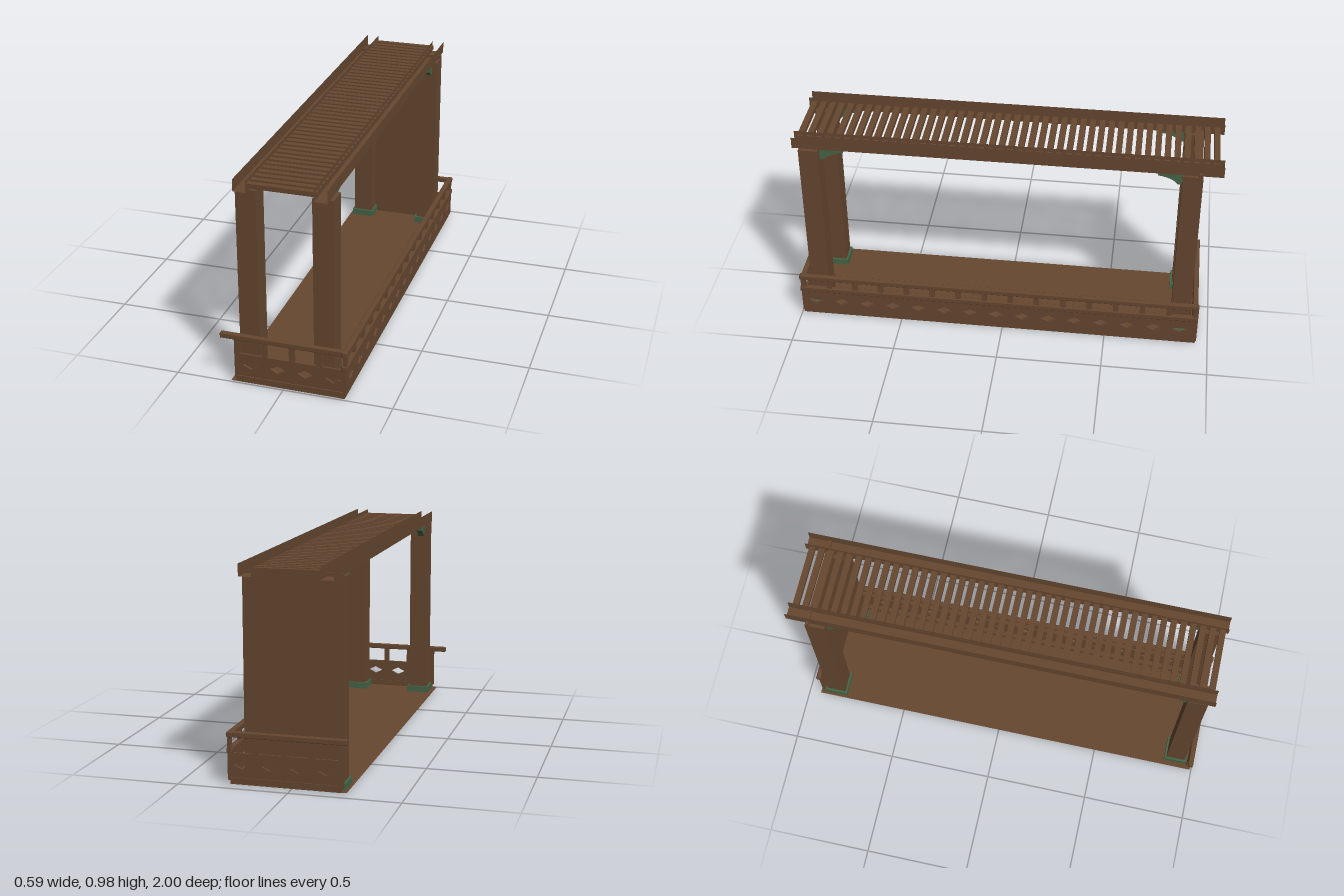
import * as THREE from 'three';
import { RoundedBoxGeometry } from 'three/addons/geometries/RoundedBoxGeometry.js';

const wood = new THREE.MeshStandardMaterial({ color: 0x664730, side: THREE.DoubleSide });
wood.name = 'brown wood';
const green = new THREE.MeshStandardMaterial({ color: 0x456546 });
green.name = 'green trim';

const PITCH = 0.1275; // spacing of railing bays

function add(parent, name, geometry, material = wood) {
  const mesh = new THREE.Mesh(geometry, material);
  mesh.name = name;
  parent.add(mesh);
  return mesh;
}

// Box given by its extents on each axis
function box(parent, name, [x0, x1], [y0, y1], [z0, z1], material = wood, radius = 0) {
  const size = [x1 - x0, y1 - y0, z1 - z0];
  const geometry = radius ? new RoundedBoxGeometry(...size, 1, radius) : new THREE.BoxGeometry(...size);
  const mesh = add(parent, name, geometry, material);
  mesh.position.set((x0 + x1) / 2, (y0 + y1) / 2, (z0 + z1) / 2);
  return mesh;
}

// Upright board in the XY plane with a row of diamond cut-outs
function diamondPanel(u0, u1, centres, y0, y1, depth) {
  const shape = new THREE.Shape();
  shape.moveTo(u0, y0).lineTo(u1, y0).lineTo(u1, y1).lineTo(u0, y1).closePath();
  for (const u of centres) {
    const hole = new THREE.Path();
    hole.moveTo(u - 0.038, 0.086).lineTo(u, 0.105).lineTo(u + 0.038, 0.086).lineTo(u, 0.067).closePath();
    shape.holes.push(hole);
  }
  return new THREE.ExtrudeGeometry(shape, { depth, bevelEnabled: false });
}

// Railing across one end: sill, pierced board, posts and handrail
function endRailing(parent, name, z, handrailStart) {
  const rail = new THREE.Group();
  rail.name = name;
  parent.add(rail);
  box(rail, 'sill', [-0.222, 0.268], [0, 0.03], [z - 0.011, z + 0.011]);
  const centres = [0, 1, 2, 3].map((i) => -0.156 + i * PITCH);
  add(rail, 'diamondPanel', diamondPanel(-0.222, 0.275, centres, 0.03, 0.14, 0.01)).position.z = z - 0.005;
  for (let i = 0; i < 4; i++) {
    const x = -0.218 + i * PITCH;
    box(rail, 'post', [x - 0.0125, x + 0.0125], [0.02, 0.212], [z - 0.007, z + 0.007]);
  }
  box(rail, 'handrail', [handrailStart, 0.27], [0.21, 0.235], [z - 0.0125, z + 0.0125], wood, 0.004);
}

// Long railing down the left side, with an extra middle rail
function sideRailing(parent) {
  const rail = new THREE.Group();
  rail.name = 'sideRailing';
  parent.add(rail);
  const centres = Array.from({ length: 15 }, (_, i) => -0.92 + i * PITCH);
  const panel = add(rail, 'diamondPanel', diamondPanel(-0.99, 0.938, centres, 0.02, 0.145, 0.011));
  panel.rotation.y = Math.PI / 2;
  panel.position.x = 0.277;
  box(rail, 'sill', [0.255, 0.28], [0, 0.03], [-0.938, 0.99]);
  for (let i = 0; i < 16; i++) {
    const z = 0.98 - i * PITCH;
    box(rail, 'post', [0.2745, 0.2885], [0.02, 0.212], [z - 0.0125, z + 0.0125]);
  }
  for (const y of [0.14, 0.21]) {
    box(rail, 'longRail', [0.268, 0.294], [y, y + 0.025], [-0.945, 0.997], wood, 0.004);
  }
}

// Square column with a collar round its foot
function column(parent, name, x0, x1, z0, z1, top) {
  const group = new THREE.Group();
  group.name = name;
  parent.add(group);
  box(group, 'shaft', [x0, x1], [0.001, top], [z0, z1]);
  box(group, 'collar', [x0 - 0.01, x1 + 0.01], [0.001, 0.035], [z0 - 0.01, z1 + 0.01], green);
}

// Curved bracket between column and beam; direction points along z
function bracket(parent, x, z, direction) {
  const shape = new THREE.Shape();
  shape.moveTo(0, 0).lineTo(0.112, 0).lineTo(0.112, -0.02);
  shape.quadraticCurveTo(0.045, -0.028, 0.02, -0.062);
  shape.lineTo(0, -0.062).closePath();
  const geometry = new THREE.ExtrudeGeometry(shape, { depth: 0.03, bevelEnabled: false, curveSegments: 6 });
  geometry.translate(0, 0, -0.015);
  const mesh = add(parent, 'bracket', geometry, green);
  mesh.rotation.y = -direction * Math.PI / 2;
  mesh.position.set(x, 0.927, z);
}

// Roof beam: open channel made of thin sheets
function channelBeam(parent, centre) {
  const beam = new THREE.Group();
  beam.name = 'roofBeam';
  parent.add(beam);
  const length = 1.99;
  for (const side of [-1, 1]) {
    const sheet = add(beam, 'beamSide', new THREE.PlaneGeometry(length, 0.056));
    sheet.rotation.y = side * Math.PI / 2;
    sheet.position.set(centre + side * 0.029, 0.955, -0.005);
  }
  const base = add(beam, 'beamBase', new THREE.PlaneGeometry(0.058, length));
  base.rotation.x = -Math.PI / 2;
  base.position.set(centre, 0.928, -0.005);
}

export function createModel() {
  const model = new THREE.Group();
  model.name = 'coveredPorch';

  // Thin floor sheet
  const floor = add(model, 'floor', new THREE.PlaneGeometry(0.525, 1.935));
  floor.rotation.x = -Math.PI / 2;
  floor.position.set(0.0165, 0.003, 0.0255);

  // Railings on three sides, the right side stays open
  endRailing(model, 'frontRailing', 0.978, -0.295);
  endRailing(model, 'backRailing', -0.927, -0.246);
  sideRailing(model);

  // Columns and the wall closing the back
  column(model, 'frontRightColumn', -0.211, -0.118, 0.865, 0.957, 0.927);
  column(model, 'frontLeftColumn', 0.131, 0.226, 0.865, 0.957, 0.927);
  column(model, 'backRightColumn', -0.223, -0.128, -0.908, -0.815, 0.927);
  column(model, 'backLeftColumn', 0.128, 0.222, -0.908, -0.815, 0.927);
  box(model, 'backWall', [-0.13, 0.13], [0.003, 0.943], [-0.904, -0.89]);
  box(model, 'wallHead', [-0.223, 0.222], [0.92, 0.943], [-0.904, -0.89]);

  // Roof beams, brackets and slats
  for (const x of [-0.179, 0.179]) {
    channelBeam(model, x);
    bracket(model, x, 0.865, -1);
    bracket(model, x, -0.815, 1);
  }
  const slats = new THREE.Group();
  slats.name = 'roofSlats';
  model.add(slats);
  for (let i = 0; i < 44; i++) {
    const z = -0.965 + i * 0.0448;
    box(slats, 'slat', [-0.151, 0.159], [0.943, 0.965], [z - 0.014, z + 0.014]);
  }
  return model;
}
